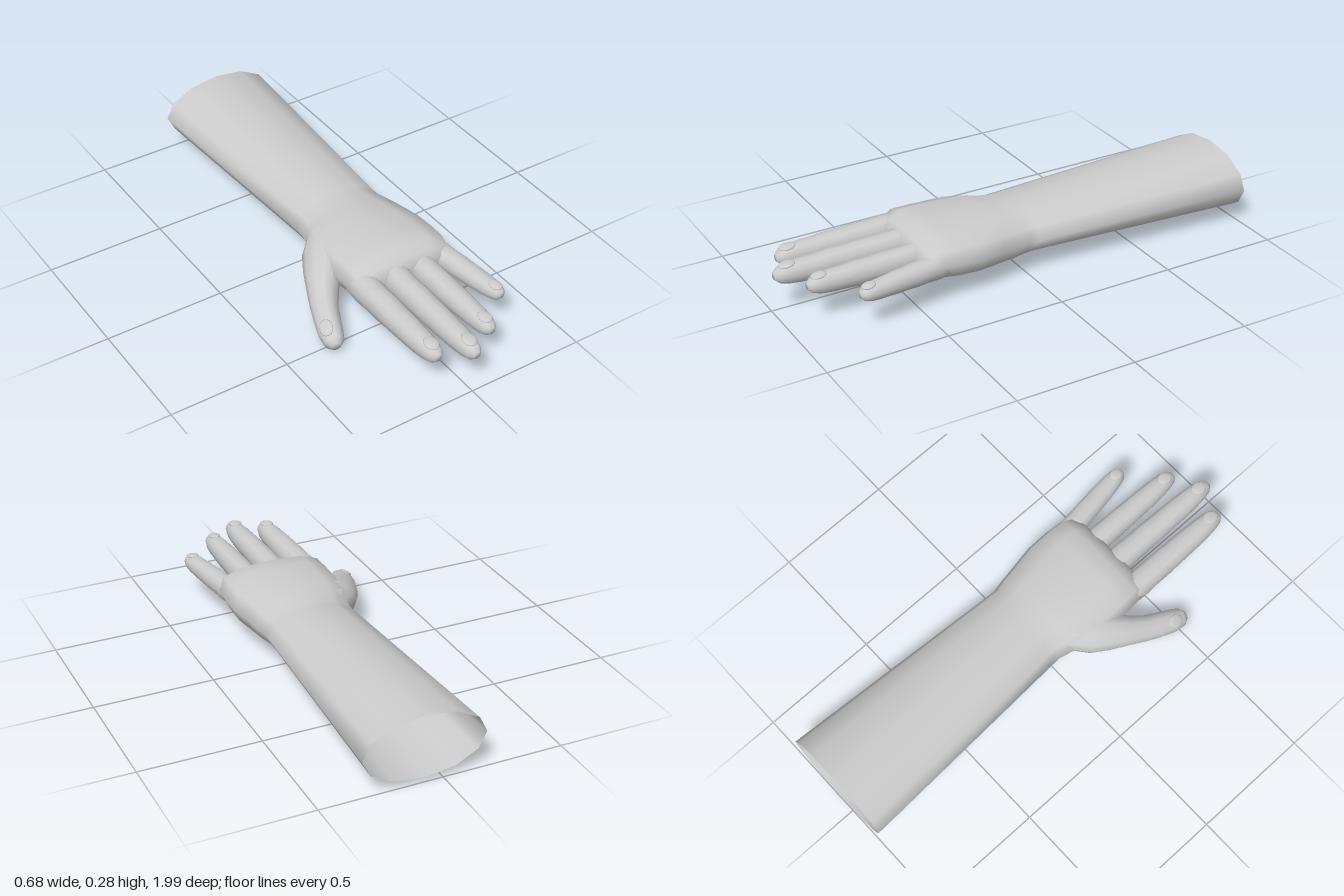
import * as THREE from 'three';

const material = new THREE.MeshStandardMaterial({ color: 0xcccccc, side: THREE.DoubleSide });

// Skin joining rings of equal point count, smooth around the seam
function skin(name, rings, closeEnd) {
  const n = rings[0].length, pos = [], index = [];
  rings.forEach(r => r.forEach(p => pos.push(p.x, p.y, p.z)));
  for (let i = 0; i < rings.length - 1; i++) {
    for (let j = 0; j < n; j++) {
      const a = i * n + j, b = i * n + (j + 1) % n;
      index.push(a, b, a + n, b, b + n, a + n);
    }
  }
  if (closeEnd) {
    const last = rings[rings.length - 1], c = new THREE.Vector3();
    last.forEach(p => c.addScaledVector(p, 1 / n));
    const k = pos.length / 3, s = (rings.length - 1) * n;
    pos.push(c.x, c.y, c.z);
    for (let j = 0; j < n; j++) index.push(s + j, s + (j + 1) % n, k);
  }
  const g = new THREE.BufferGeometry();
  g.setAttribute('position', new THREE.Float32BufferAttribute(pos, 3));
  g.setIndex(index);
  g.computeVertexNormals();
  const mesh = new THREE.Mesh(g, material);
  mesh.name = name;
  return mesh;
}

// Rounded-square ring: power 1 is an ellipse, smaller is boxier
function ring(center, side, up, rx, ry, n, power) {
  const bend = v => Math.sign(v) * Math.pow(Math.abs(v), power);
  return Array.from({ length: n }, (_, j) => {
    const a = j / n * Math.PI * 2;
    const c = Math.abs(Math.cos(a)) < 1e-9 ? 0 : Math.cos(a);
    const s = Math.abs(Math.sin(a)) < 1e-9 ? 0 : Math.sin(a);
    return center.clone().addScaledVector(side, rx * bend(c)).addScaledVector(up, ry * bend(s));
  });
}

// Forearm, wrist and palm: x0, x1, y0, y1, z, power
const ARM = [
  [-0.177, 0.328, 0.03, 0.295, -1, 1],
  [-0.127, 0.272, 0.06, 0.264, -0.04, 1],
  [-0.125, 0.27, 0.06, 0.262, 0.01, 0.97],
  [-0.14, 0.283, 0.061, 0.266, 0.07, 0.92],
  [-0.162, 0.292, 0.064, 0.271, 0.13, 0.86],
  [-0.172, 0.312, 0.07, 0.274, 0.24, 0.82],
  [-0.17, 0.312, 0.08, 0.275, 0.34, 0.78],
  [-0.166, 0.306, 0.093, 0.272, 0.41, 0.75],
  [-0.16, 0.295, 0.105, 0.242, 0.45, 0.75],
  [-0.14, 0.255, 0.12, 0.22, 0.475, 0.75],
];

function arm() {
  const X = new THREE.Vector3(1, 0, 0), Y = new THREE.Vector3(0, 1, 0);
  const rings = ARM.map(([x0, x1, y0, y1, z, p]) =>
    ring(new THREE.Vector3((x0 + x1) / 2, (y0 + y1) / 2, z), X, Y, (x1 - x0) / 2, (y1 - y0) / 2, 12, p));
  return skin('forearmAndPalm', rings, true);
}

// Digit swept through sections [x, y, z, rx, ry], with a nail near its tip
function digit(name, sections, roll, nail) {
  const group = new THREE.Group();
  group.name = name;
  const pts = sections.map(s => new THREE.Vector3(s[0], s[1], s[2]));
  const frame = i => {
    const t = pts[Math.min(i + 1, pts.length - 1)].clone().sub(pts[Math.max(i - 1, 0)]).normalize();
    const side = new THREE.Vector3(0, 1, 0).cross(t).normalize().applyAxisAngle(t, roll);
    return { t, side, up: t.clone().cross(side) };
  };
  const rings = sections.map((s, i) => {
    const { side, up } = frame(i);
    return ring(pts[i], side, up, s[3], s[4], 12, 0.86);
  });
  group.add(skin(name + 'Skin', rings, true));

  const k = sections.length - 3, f = frame(k);
  const plate = new THREE.Mesh(new THREE.SphereGeometry(1, 12, 8), material);
  plate.name = name + 'Nail';
  plate.matrixAutoUpdate = true;
  plate.quaternion.setFromRotationMatrix(new THREE.Matrix4().makeBasis(f.side, f.up, f.t));
  plate.rotateX(0.14);
  plate.scale.set(nail * 0.8, 0.008, nail);
  plate.position.copy(pts[k]).addScaledVector(f.up, sections[k][4] * 0.93);
  group.add(plate);
  return group;
}

// Finger profile: position along length, width factor, height factor
const PROFILE = [
  [0, 0.9, 0.95], [0.15, 1, 1], [0.28, 0.95, 0.92], [0.42, 0.95, 0.93], [0.5, 0.93, 0.85],
  [0.62, 0.89, 0.86], [0.72, 0.87, 0.77], [0.82, 0.81, 0.76], [0.91, 0.71, 0.67],
  [0.97, 0.56, 0.5], [1, 0.28, 0.25],
];

// name, base x, base z, tip x, tip z, half width, half height, base y, tip y
const FINGERS = [
  ['indexFinger', -0.107, 0.38, -0.108, 0.925, 0.057, 0.06, 0.17, 0.172],
  ['middleFinger', 0.024, 0.38, 0.02, 0.99, 0.056, 0.06, 0.172, 0.172],
  ['ringFinger', 0.148, 0.38, 0.15, 0.91, 0.053, 0.057, 0.17, 0.17],
  ['littleFinger', 0.25, 0.36, 0.308, 0.765, 0.049, 0.049, 0.17, 0.168],
];

// Thumb sections from inside the palm to the tip
const THUMB = [
  [-0.06, 0.17, 0.1, 0.07, 0.075],
  [-0.125, 0.155, 0.18, 0.086, 0.075],
  [-0.172, 0.138, 0.245, 0.077, 0.068],
  [-0.215, 0.115, 0.31, 0.062, 0.06],
  [-0.25, 0.092, 0.375, 0.054, 0.054],
  [-0.272, 0.075, 0.43, 0.052, 0.05],
  [-0.292, 0.06, 0.485, 0.049, 0.047],
  [-0.304, 0.05, 0.53, 0.039, 0.037],
  [-0.309, 0.046, 0.55, 0.02, 0.019],
];

export function createModel() {
  const hand = new THREE.Group();
  hand.name = 'handAndForearm';
  hand.add(arm());
  for (const [name, x0, z0, x1, z1, w, h, y0, y1] of FINGERS) {
    const sections = PROFILE.map(([u, a, b]) =>
      [x0 + (x1 - x0) * u, y0 + (y1 - y0) * u, z0 + (z1 - z0) * u, w * a, h * b]);
    hand.add(digit(name, sections, 0, w * 0.63));
  }
  hand.add(digit('thumb', THUMB, 0.5, 0.036));
  return hand;
}
